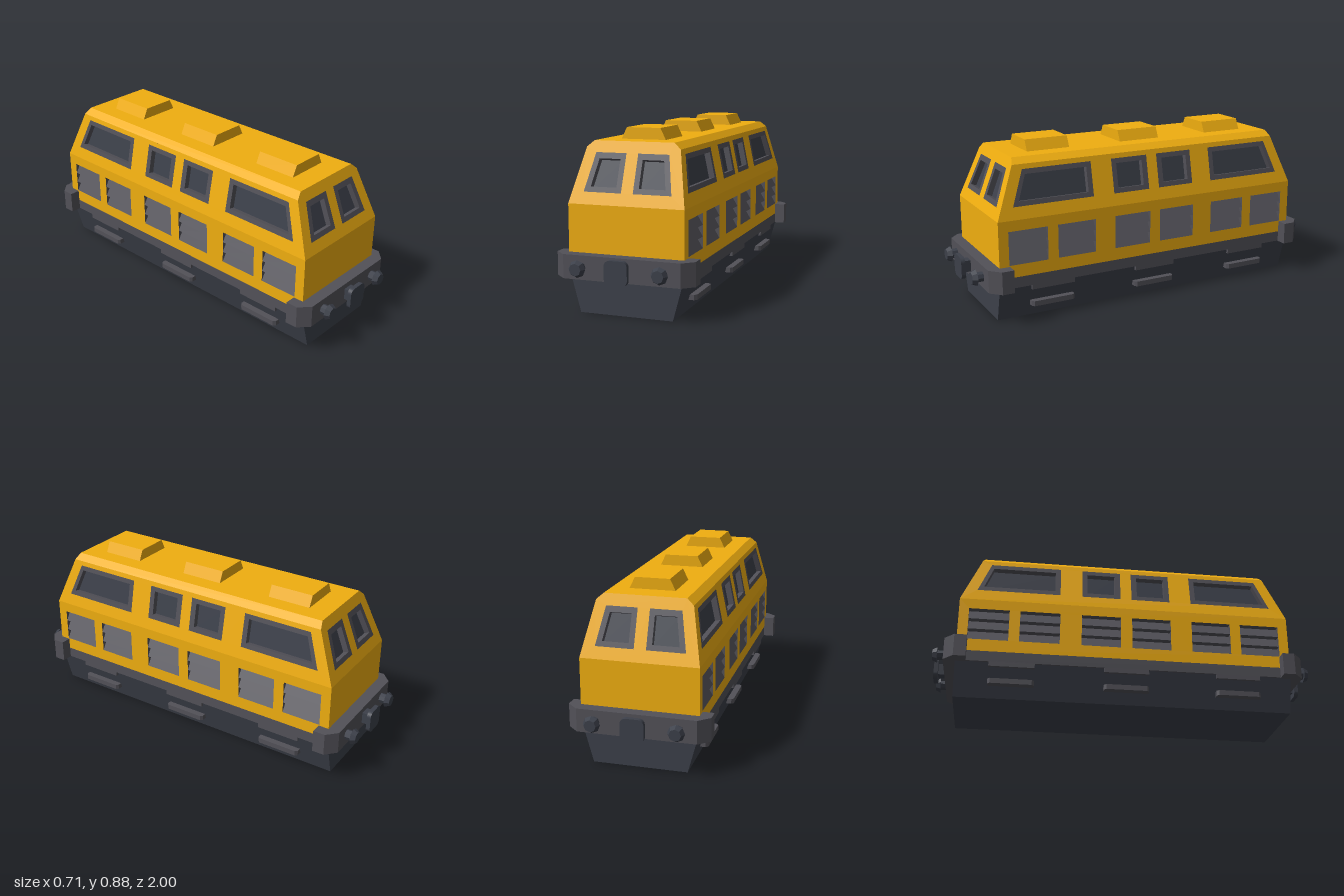
import * as THREE from 'three';

const paint = (color) => new THREE.MeshStandardMaterial({ color, flatShading: true, side: THREE.DoubleSide });
const YELLOW = paint(0xf0ae10), GREY = paint(0x525158), DARK = paint(0x3c404a);

function add(parent, name, geometry, material, x = 0, y = 0, z = 0) {
  const mesh = new THREE.Mesh(geometry, material);
  mesh.name = name;
  mesh.position.set(x, y, z);
  parent.add(mesh);
  return mesh;
}

const shapeOf = (pts) => new THREE.Shape(pts.map(([x, y]) => new THREE.Vector2(x, y)));
const extrude = (shape, depth) => new THREE.ExtrudeGeometry(shape, { depth, bevelEnabled: false, curveSegments: 4 });
const rect = (u0, u1, v0, v1) => [[u0, v0], [u1, v0], [u1, v1], [u0, v1]];
const mirrored = (pts) => pts.map(([u, v]) => [-u, v]).reverse();

// Flat-shaded geometry from four-cornered faces
function quads(faces) {
  const pos = faces.flatMap(([a, b, c, d]) => [a, b, c, a, c, d].flat());
  const g = new THREE.BufferGeometry();
  g.setAttribute('position', new THREE.Float32BufferAttribute(pos, 3));
  g.computeVertexNormals();
  return g;
}

// Wall plane facing +z that leans back above y0; d is depth behind its surface
function plane(base, y0, slope) {
  const n = Math.hypot(1, slope);
  return (u, v, d = 0) => [u, v - d * slope / n, base - (v - y0) * slope - d / n];
}

// Flat outline with holes, laid on a wall plane
function panel(map, pts, holes = [], depth = 0) {
  const shape = shapeOf(pts);
  holes.forEach((h) => shape.holes.push(shapeOf(h)));
  const g = new THREE.ShapeGeometry(shape), p = g.attributes.position;
  for (let i = 0; i < p.count; i++) p.setXYZ(i, ...map(p.getX(i), p.getY(i), depth));
  g.computeVertexNormals();
  return g;
}

// Inner walls of an opening
const recess = (map, pts, depth) => quads(pts.map((a, i) => {
  const b = pts[(i + 1) % pts.length];
  return [map(...a), map(...b), map(...b, depth), map(...a, depth)];
}));

function addWindow(parent, map, outer, inner) {
  const g = new THREE.Group();
  g.name = 'window';
  add(g, 'windowFrame', panel(map, outer, [inner]), GREY);
  add(g, 'windowReveal', recess(map, inner, 0.03), GREY);
  add(g, 'windowGlass', panel(map, inner, [], 0.03), DARK);
  parent.add(g);
}

// Three slanted slats set in an opening
function addLouver(parent, map, u0, u1, v0, v1) {
  const g = new THREE.Group(), deep = 0.035, step = (v1 - v0) / 3, faces = [];
  g.name = 'louver';
  for (let i = 0; i < 3; i++) {
    const b = v0 + i * step, t = b + step;
    faces.push([map(u0, b), map(u1, b), map(u1, t, deep), map(u0, t, deep)]);
    faces.push([map(u0, b, deep), map(u1, b, deep), map(u1, b), map(u0, b)]);
  }
  add(g, 'louverSlats', quads(faces), GREY);
  add(g, 'louverReveal', recess(map, rect(u0, u1, v0, v1), deep), GREY);
  parent.add(g);
}

// Long side, built facing +z and turned to +x
function createSide() {
  const side = new THREE.Group();
  side.name = 'side';
  const lower = plane(0.295, 0.53, 0), upper = plane(0.295, 0.53, 0.2075);

  const bays = [[0.03, 0.238], [0.352, 0.562], [0.618, 0.828]]
    .flatMap(([a, b]) => [[a, b], [-b, -a]]);
  add(side, 'lowerSideWall', panel(lower, rect(-0.88, 0.88, 0.235, 0.53),
    bays.map(([a, b]) => rect(a, b, 0.3, 0.475))), YELLOW);
  bays.forEach(([a, b]) => addLouver(side, lower, a, b, 0.3, 0.475));

  const small = [rect(0.03, 0.237, 0.593, 0.77), rect(0.06, 0.21, 0.618, 0.745)];
  const cab = [
    [[0.354, 0.593], [0.793, 0.593], [0.727, 0.77], [0.354, 0.77]],
    [[0.381, 0.618], [0.76, 0.618], [0.714, 0.745], [0.381, 0.745]],
  ];
  const windows = [small, cab].flatMap((w) => [w, w.map(mirrored)]);
  add(side, 'upperSideWall', panel(upper,
    [[-0.88, 0.53], [0.88, 0.53], [0.777, 0.795], [-0.777, 0.795]], windows.map((w) => w[0])), YELLOW);
  windows.forEach((w) => addWindow(side, upper, ...w));

  add(side, 'roofChamfer', quads([[[-0.777, 0.795, 0.24], [0.777, 0.795, 0.24],
    [0.765, 0.825, 0.205], [-0.765, 0.825, 0.205]]]), YELLOW);

  // Hanging tabs and footsteps
  for (const x of [-0.593, 0, 0.593]) {
    add(side, 'sillTab', new THREE.BoxGeometry(0.235, 0.03, 0.08), GREY, x, 0.17, 0.255);
    const step = shapeOf([[-0.118, -0.1], [0.118, -0.1], [0.118, -0.012], [0.106, 0], [-0.106, 0], [-0.118, -0.012]]);
    add(side, 'footstep', extrude(step, 0.027).rotateX(Math.PI / 2), GREY, x, 0.089, 0.295);
  }
  side.rotation.y = Math.PI / 2;
  return side;
}

// Cab end with bumper, buffers and coupler, facing +z
function createEnd() {
  const end = new THREE.Group();
  end.name = 'cabEnd';
  const lower = plane(0.88, 0.53, 0), upper = plane(0.88, 0.53, 0.39);
  add(end, 'lowerEndWall', panel(lower, rect(-0.295, 0.295, 0.235, 0.53)), YELLOW);

  const right = [
    [[0.03, 0.587], [0.223, 0.587], [0.187, 0.77], [0.03, 0.77]],
    [[0.057, 0.612], [0.19, 0.612], [0.165, 0.742], [0.057, 0.742]],
  ];
  const windows = [right, right.map(mirrored)];
  add(end, 'upperEndWall', panel(upper, [[-0.295, 0.53], [0.295, 0.53], [0.24, 0.795],
    [0.205, 0.825], [-0.205, 0.825], [-0.24, 0.795]], windows.map((w) => w[0])), YELLOW);
  windows.forEach((w) => addWindow(end, upper, ...w));

  const bumper = shapeOf([[-0.353, 0.825], [0.353, 0.825], [0.353, 0.888],
    [0.297, 0.94], [-0.297, 0.94], [-0.353, 0.888]]);
  add(end, 'bumper', extrude(bumper, 0.118).rotateX(Math.PI / 2), GREY, 0, 0.295, 0);

  for (const x of [-0.207, 0.207]) {
    add(end, 'bufferStem', new THREE.CylinderGeometry(0.027, 0.027, 0.05, 8).rotateX(Math.PI / 2), DARK, x, 0.237, 0.955);
    add(end, 'bufferHead', new THREE.CylinderGeometry(0.03, 0.043, 0.025, 8).rotateX(Math.PI / 2), DARK, x, 0.237, 0.9875);
  }

  // Rounded coupler plate on a short neck
  const w = 0.058, h = 0.059, r = 0.028, plate = new THREE.Shape();
  plate.absarc(w - r, h - r, r, 0, Math.PI / 2);
  plate.absarc(r - w, h - r, r, Math.PI / 2, Math.PI);
  plate.absarc(r - w, r - h, r, Math.PI, Math.PI * 1.5);
  plate.absarc(w - r, r - h, r, Math.PI * 1.5, Math.PI * 2);
  add(end, 'couplerPlate', extrude(plate, 0.022), DARK, 0, 0.236, 0.978);
  add(end, 'couplerNeck', new THREE.BoxGeometry(0.054, 0.06, 0.05), DARK, 0, 0.236, 0.955);
  return end;
}

export function createModel() {
  const model = new THREE.Group();
  model.name = 'locomotive';

  // Underframe
  const skirt = shapeOf([[-0.237, 0], [0.237, 0], [0.293, 0.207], [-0.293, 0.207]]);
  add(model, 'skirt', extrude(skirt, 1.76), DARK, 0, 0, -0.88);
  add(model, 'sill', new THREE.BoxGeometry(0.59, 0.056, 1.758), GREY, 0, 0.207, 0);

  // Two identical halves, turned about the middle
  for (const turn of [0, Math.PI]) {
    const half = new THREE.Group();
    half.name = turn ? 'rearHalf' : 'frontHalf';
    half.add(createSide(), createEnd());
    half.rotation.y = turn;
    model.add(half);
  }

  // Roof and its raised pods
  add(model, 'roof', quads([[[-0.205, 0.825, 0.765], [0.205, 0.825, 0.765],
    [0.205, 0.825, -0.765], [-0.205, 0.825, -0.765]]]), YELLOW);
  const pod = shapeOf([[-0.118, 0.82], [0.118, 0.82], [0.088, 0.882], [-0.088, 0.882]]);
  for (const z of [-0.53, 0, 0.53]) add(model, 'roofPod', extrude(pod, 0.234), YELLOW, 0, 0, z - 0.117);

  return model;
}
